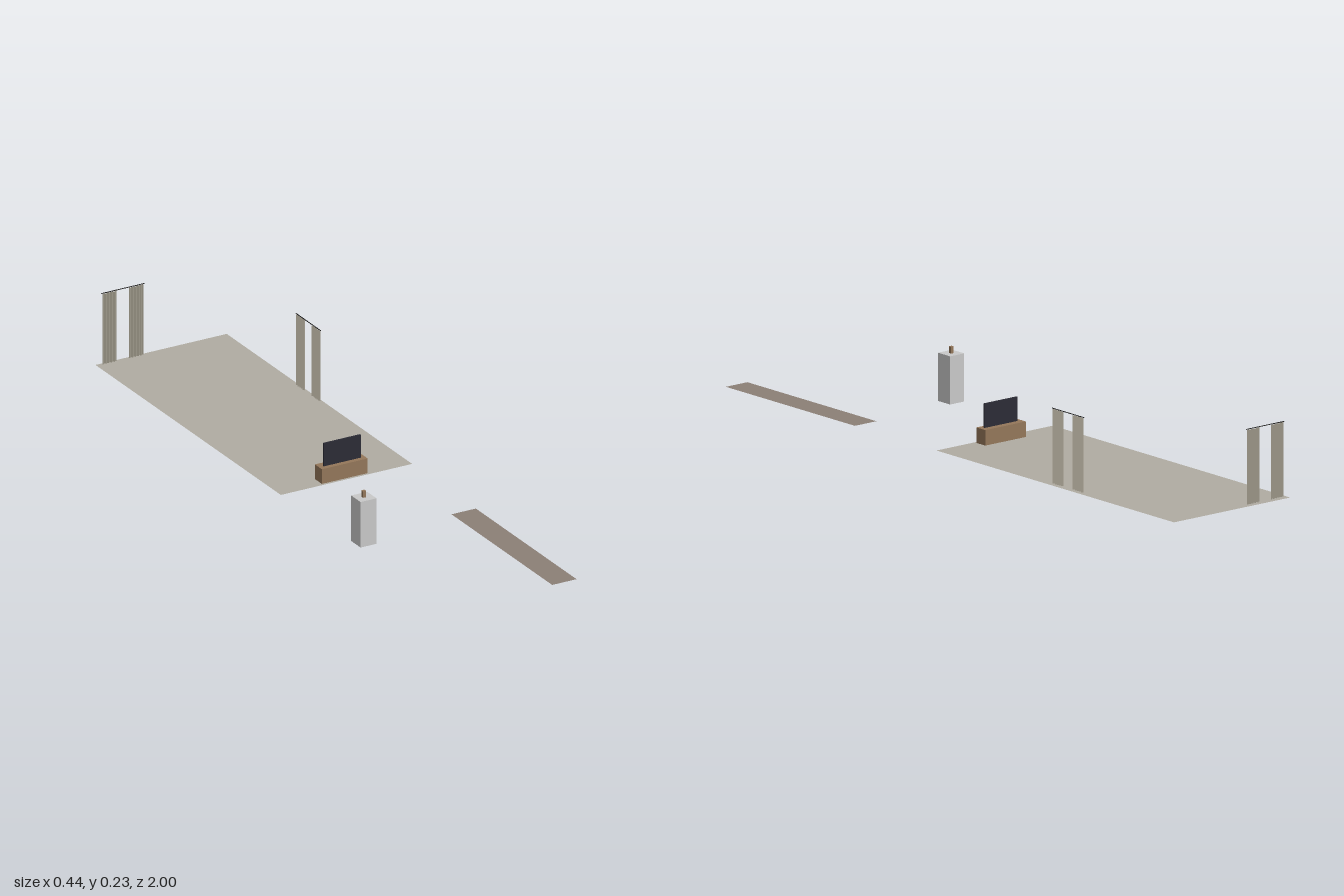
import * as THREE from 'three';

const mat = (name, color, side = THREE.FrontSide) => {
  const m = new THREE.MeshStandardMaterial({ color, side });
  m.name = name;
  return m;
};

export function createModel() {
  const root = new THREE.Group();
  root.name = 'roomFurnishings';

  const floorMat = mat('pale stone floor', 0xb0aca2, THREE.DoubleSide);
  const walkMat = mat('taupe walkway', 0x8b7f76, THREE.DoubleSide);
  const rugMat = mat('dark brown rug', 0x6f5b51);
  const woodMat = mat('wood', 0x94775a);
  const screenMat = mat('screen black', 0x2c2c36);
  const pedestalMat = mat('light grey', 0xc9c9c9);
  const clothMat = mat('curtain cloth', 0xb0aa9a, THREE.DoubleSide);
  clothMat.flatShading = true;
  const rodMat = mat('rod metal', 0x222222);

  // Box given by its limits on each axis
  function box(name, material, [x0, x1], [y0, y1], [z0, z1]) {
    const mesh = new THREE.Mesh(new THREE.BoxGeometry(x1 - x0, y1 - y0, z1 - z0), material);
    mesh.position.set((x0 + x1) / 2, (y0 + y1) / 2, (z0 + z1) / 2);
    mesh.name = name;
    root.add(mesh);
  }

  // Flat sheet lying just above the ground
  function sheet(name, material, [x0, x1], [z0, z1]) {
    const geo = new THREE.PlaneGeometry(x1 - x0, z1 - z0).rotateX(-Math.PI / 2);
    const mesh = new THREE.Mesh(geo, material);
    mesh.position.set((x0 + x1) / 2, 0.002, (z0 + z1) / 2);
    mesh.name = name;
    root.add(mesh);
  }

  // Floors with rugs set beneath their surface
  sheet('mainFloor', floorMat, [-0.218, 0.218], [-1, 0.06]);
  sheet('walkway', walkMat, [0.137, 0.218], [0.424, 1]);
  box('squareRug', rugMat, [-0.115, 0.115], [0, 0.0015], [-0.942, -0.77]);
  box('runnerRug', rugMat, [0.146, 0.207], [0, 0.0015], [0.475, 0.947]);

  // Low cabinet and screen
  box('cabinet', woodMat, [-0.077, 0.075], [0, 0.048], [0.012, 0.052]);
  box('screen', screenMat, [-0.062, 0.061], [0.048, 0.12], [0.032, 0.037]);

  // Pedestal with a small block on top
  box('pedestal', pedestalMat, [-0.204, -0.151], [0, 0.143], [0.438, 0.492]);
  box('pedestalBlock', woodMat, [-0.183, -0.173], [0.143, 0.163], [0.46, 0.47]);

  // Pleated curtain panel, folded by a wave across its width
  function panel(width) {
    const height = 0.221;
    const geo = new THREE.PlaneGeometry(width, height, 20, 1);
    const p = geo.attributes.position;
    for (let i = 0; i < p.count; i++) {
      p.setZ(i, 0.0028 * Math.sin((p.getX(i) / width + 0.5) * Math.PI * 10));
    }
    geo.computeVertexNormals();
    const mesh = new THREE.Mesh(geo, clothMat);
    mesh.position.y = 0.005 + height / 2;
    return mesh;
  }

  // Pair of curtain panels hanging from a rod
  function curtains(name, x, z, turn) {
    const group = new THREE.Group();
    group.name = name;
    for (const side of [-1, 1]) {
      const cloth = panel(0.047);
      cloth.position.x = side * 0.0445;
      cloth.name = side < 0 ? 'curtainPanelA' : 'curtainPanelB';
      group.add(cloth);
    }
    const rod = new THREE.Mesh(new THREE.CylinderGeometry(0.0013, 0.0013, 0.142, 8).rotateZ(Math.PI / 2), rodMat);
    rod.position.y = 0.228;
    rod.name = 'curtainRod';
    group.add(rod);
    group.position.set(x, 0, z);
    group.rotation.y = turn;
    root.add(group);
  }
  curtains('backCurtains', -0.134, -0.988, 0);
  curtains('sideCurtains', 0.208, -0.516, -Math.PI / 2);

  return root;
}
